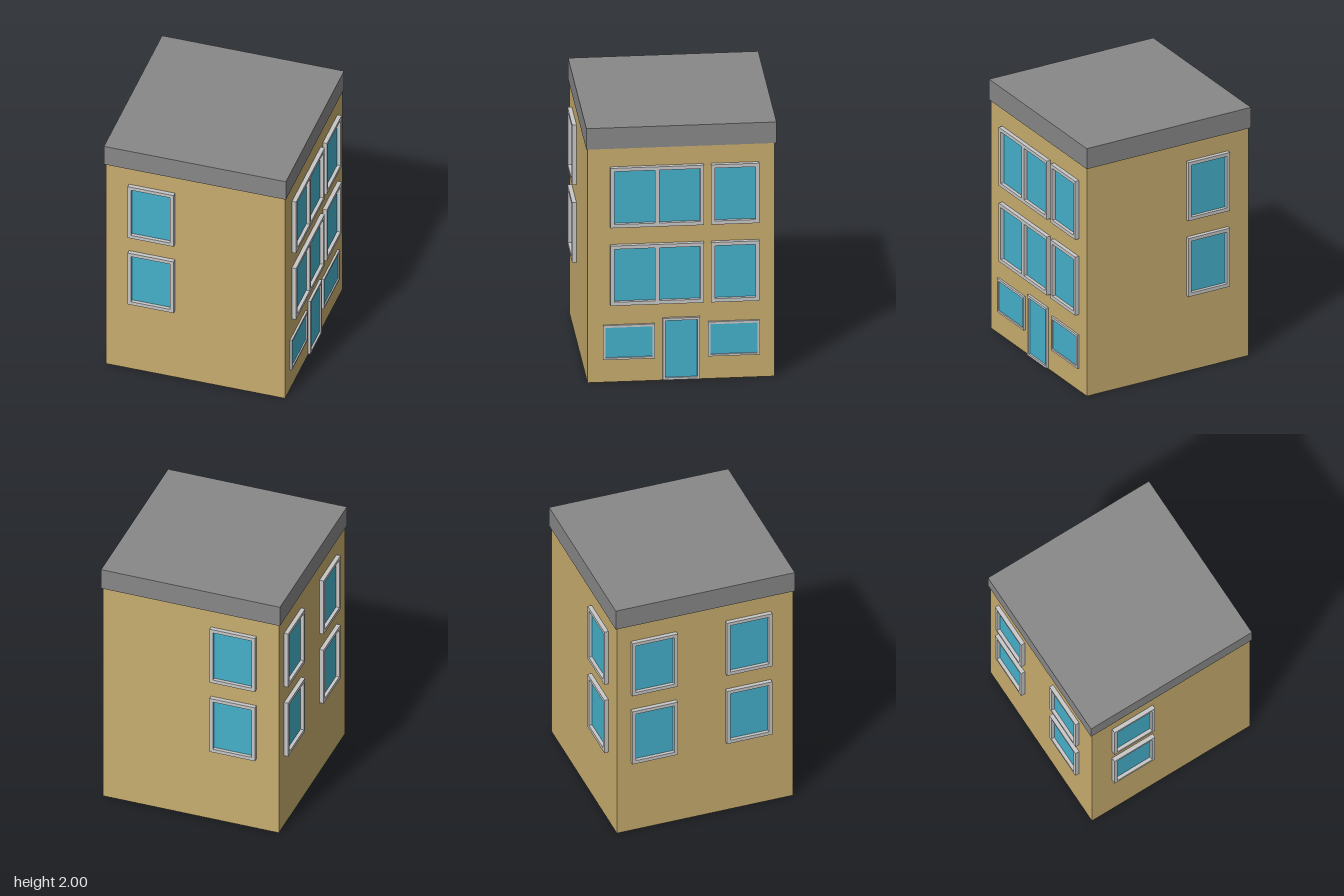
import * as THREE from 'three';

const material = (name, color) => {
  const m = new THREE.MeshStandardMaterial({ color });
  m.name = name;
  return m;
};

const WALL = 0.685; // distance from centre to each wall face

export function createModel() {
  const wallMat = material('tan wall', 0xc8ad6e);
  const roofMat = material('grey roof', 0x888888);
  const frameMat = material('light grey frame', 0xc8c8c8);
  const glassMat = material('blue glass', 0x45b1cb);

  const model = new THREE.Group();
  model.name = 'building';

  const addMesh = (parent, name, geometry, mat, x, y, z) => {
    const mesh = new THREE.Mesh(geometry, mat);
    mesh.name = name;
    mesh.position.set(x, y, z);
    parent.add(mesh);
    return mesh;
  };

  // Walls and overhanging flat roof
  addMesh(model, 'walls', new THREE.BoxGeometry(2 * WALL, 1.84, 2 * WALL), wallMat, 0, 0.92, 0);
  addMesh(model, 'roof', new THREE.BoxGeometry(1.393, 0.165, 1.393), roofMat, -0.002, 1.9175, -0.002);

  // One group per wall; inside it x runs along the wall and z points outwards
  const side = (name, angle) => {
    const group = new THREE.Group();
    group.name = name;
    group.rotation.y = angle;
    model.add(group);
    return group;
  };

  const rectangle = (PathType, [x0, x1], [y0, y1]) => {
    const p = new PathType();
    p.moveTo(x0, y0);
    p.lineTo(x1, y0);
    p.lineTo(x1, y1);
    p.lineTo(x0, y1);
    p.closePath();
    return p;
  };

  // Raised frame with one or more glazed openings
  const addOpening = (wall, name, outerX, outerY, panesX, paneY, depth) => {
    const group = new THREE.Group();
    group.name = name;
    wall.add(group);
    const shape = rectangle(THREE.Shape, outerX, outerY);
    for (const paneX of panesX) {
      shape.holes.push(rectangle(THREE.Path, paneX, paneY));
      const w = paneX[1] - paneX[0], h = paneY[1] - paneY[0];
      addMesh(group, 'glass', new THREE.BoxGeometry(w, h, 0.006), glassMat,
        paneX[0] + w / 2, paneY[0] + h / 2, WALL + 0.003);
    }
    const frame = new THREE.ExtrudeGeometry(shape, { depth, bevelEnabled: false });
    addMesh(group, 'frame', frame, frameMat, 0, 0, WALL);
  };

  const front = side('frontWall', 0);
  const street = side('streetWall', Math.PI / 2);
  const back = side('backWall', Math.PI);
  const far = side('farWall', -Math.PI / 2);

  // Two upper floors
  for (const y of [0.61, 1.22]) {
    const outerY = [y, y + 0.47], paneY = [y + 0.028, y + 0.443];
    const single = (wall, x) =>
      addOpening(wall, 'window', [x, x + 0.352], outerY, [[x + 0.026, x + 0.326]], paneY, 0.032);
    single(front, -0.51);
    single(back, 0.158);
    single(far, -0.575);
    single(far, 0.16);
    single(street, 0.218);
    addOpening(street, 'doubleWindow', [-0.52, 0.165], outerY,
      [[-0.49, -0.193], [-0.162, 0.138]], paneY, 0.032);
  }

  // Ground floor windows and door
  for (const x of [-0.572, 0.197]) {
    addOpening(street, 'groundWindow', [x, x + 0.378], [0.18, 0.45],
      [[x + 0.016, x + 0.362]], [0.195, 0.432], 0.016);
  }
  addOpening(street, 'door', [-0.135, 0.138], [0.008, 0.492],
    [[-0.116, 0.118]], [0.025, 0.473], 0.02);

  return model;
}
